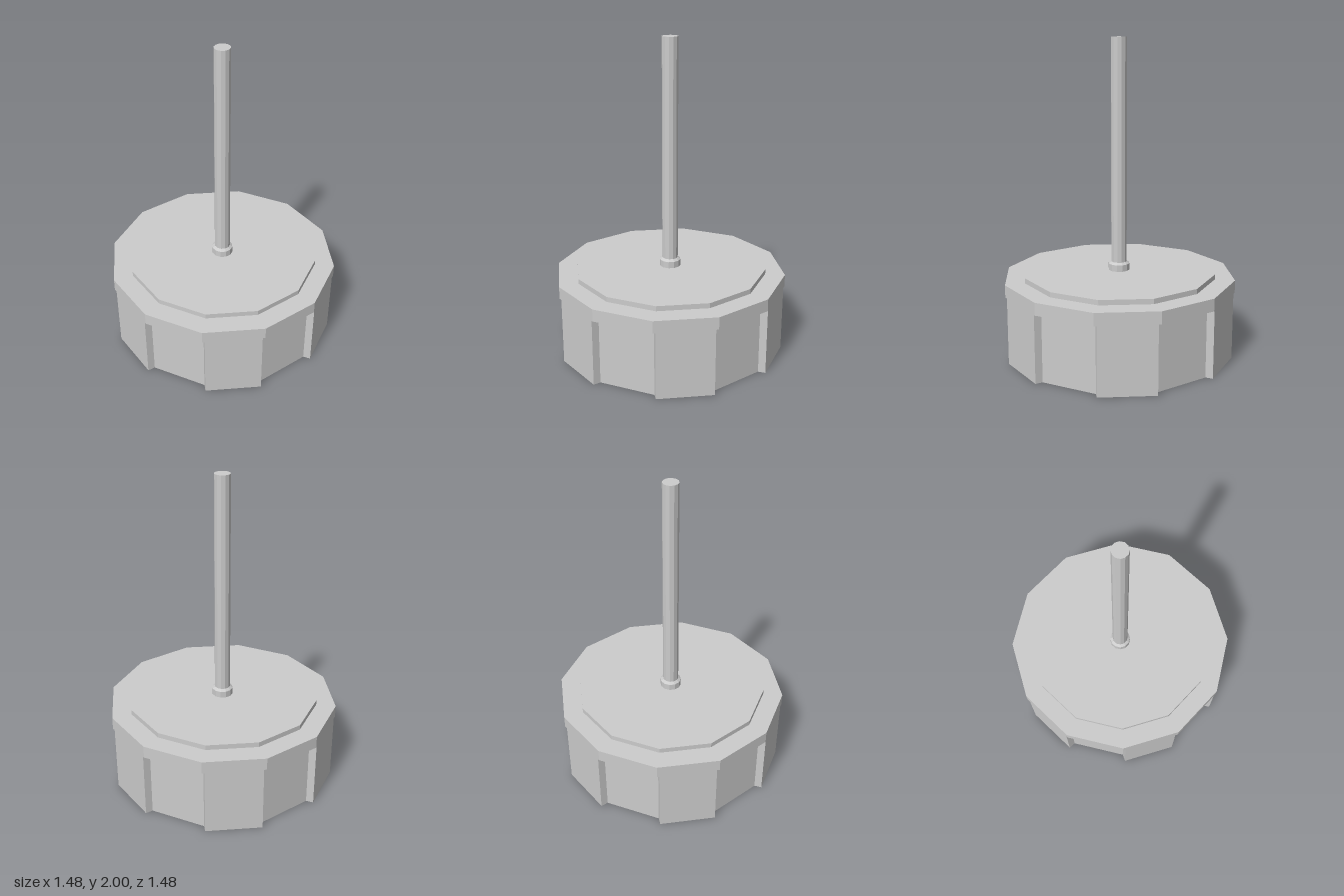
import * as THREE from 'three';

const SIDES = 12;

export function createModel() {
  const model = new THREE.Group();
  const material = new THREE.MeshStandardMaterial({ color: 0xcccccc, flatShading: true });

  const add = (name, geometry) => {
    const mesh = new THREE.Mesh(geometry, material);
    mesh.name = name;
    model.add(mesh);
  };

  // Twelve-sided disc between two heights
  const prism = (name, rBottom, rTop, y0, y1) => {
    const g = new THREE.CylinderGeometry(rTop, rBottom, y1 - y0, SIDES);
    add(name, g.translate(0, (y0 + y1) / 2, 0));
  };

  // Body: wall panels alternate between recessed and raised,
  // raised panels being slightly narrower so their ends slope
  const corner = (i, r) => {
    const a = (i / SIDES) * Math.PI * 2;
    return new THREE.Vector2(Math.cos(a) * r, Math.sin(a) * r);
  };
  const outline = [];
  for (let i = 0; i < SIDES; i++) {
    const raised = i % 2 === 1;
    const r = raised ? 0.735 : 0.687;
    const inset = raised ? 0.04 : 0;
    const a = corner(i, r), b = corner(i + 1, r);
    outline.push(a.clone().lerp(b, inset), b.clone().lerp(a, inset));
  }
  const body = new THREE.ExtrudeGeometry(new THREE.Shape(outline), { depth: 0.43, bevelEnabled: false });
  add('body', body.rotateX(Math.PI / 2).translate(0, 0.43, 0));

  // Rim and raised lid
  prism('rim', 0.738, 0.738, 0.43, 0.508);
  prism('lid', 0.613, 0.613, 0.508, 0.54);

  // Collar with a small chamfer, and the shaft
  prism('collar', 0.067, 0.067, 0.54, 0.582);
  prism('collarChamfer', 0.067, 0.05, 0.582, 0.595);
  prism('shaft', 0.05, 0.05, 0.54, 2);

  return model;
}
